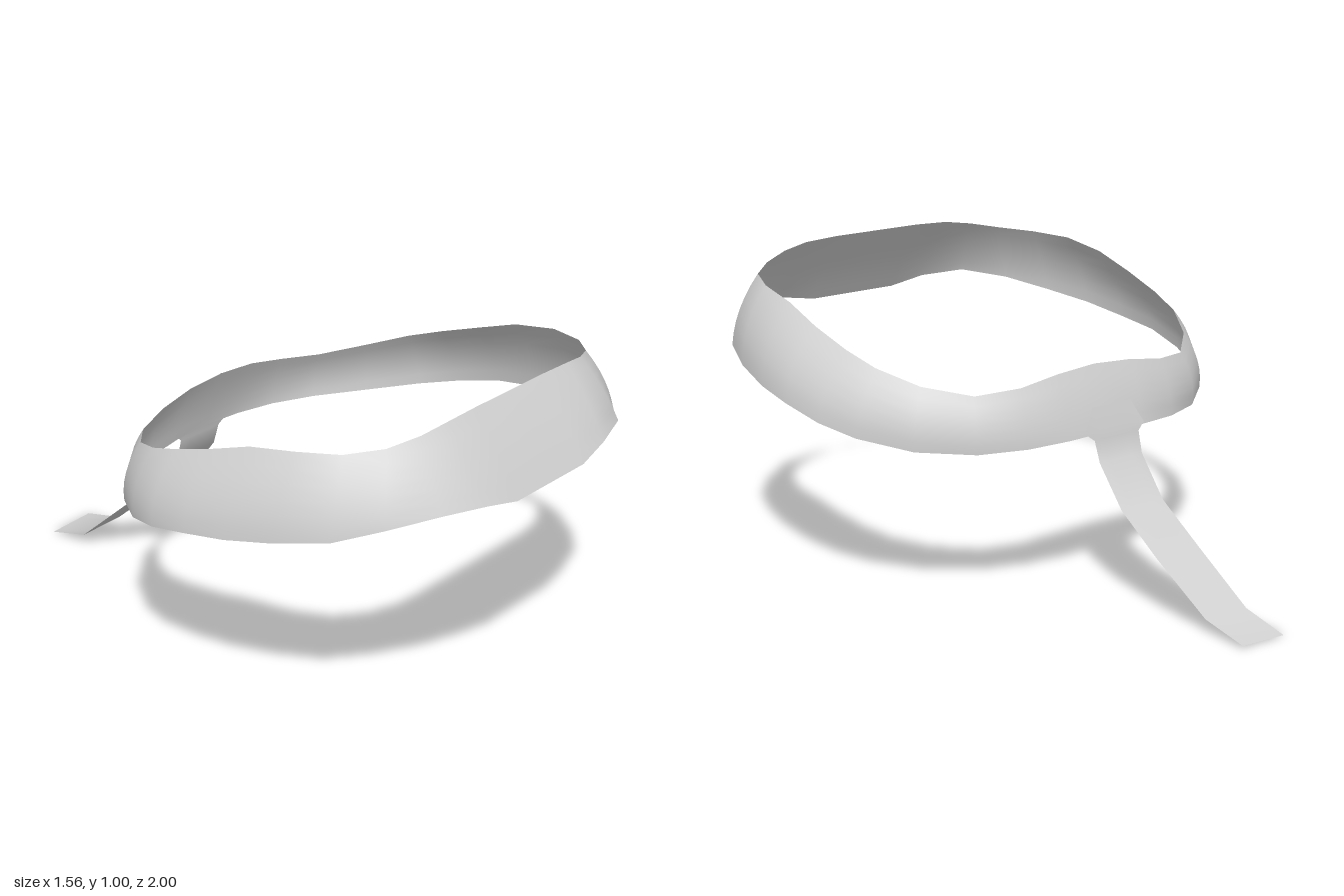
import * as THREE from 'three';

const fabric = new THREE.MeshStandardMaterial({ color: 0xd2d2d2, side: THREE.DoubleSide });
fabric.name = 'light grey fabric';

// Half of the band, front centre to back centre: upper x,y,z, lower x,y,z, outward bulge
const stations = [
  [0, 1.0, 0.84, 0, 0.75, 1.0, 0.005],
  [0.17, 1.0, 0.84, 0.17, 0.75, 1.0, 0.005],
  [0.3, 0.995, 0.837, 0.3, 0.775, 0.985, 0.007],
  [0.4, 0.98, 0.82, 0.45, 0.784, 0.94, 0.01],
  [0.5, 0.96, 0.775, 0.58, 0.755, 0.84, 0.015],
  [0.59, 0.947, 0.69, 0.68, 0.715, 0.72, 0.018],
  [0.643, 0.937, 0.56, 0.74, 0.685, 0.56, 0.022],
  [0.655, 0.91, 0.4, 0.77, 0.655, 0.4, 0.025],
  [0.66, 0.86, 0.25, 0.78, 0.632, 0.25, 0.025],
  [0.65, 0.812, 0.1, 0.76, 0.597, 0.1, 0.025],
  [0.625, 0.773, -0.02, 0.71, 0.567, -0.03, 0.023],
  [0.55, 0.728, -0.15, 0.6, 0.537, -0.18, 0.02],
  [0.43, 0.7, -0.26, 0.45, 0.527, -0.3, 0.017],
  [0.29, 0.712, -0.31, 0.3, 0.53, -0.36, 0.012],
  [0.15, 0.735, -0.32, 0.15, 0.535, -0.385, 0.008],
  [0, 0.745, -0.32, 0, 0.54, -0.39, 0.005],
];

// Smooth sheet from columns of points, optionally closed into a loop
function sheet(name, columns, closed) {
  const rows = columns[0].length, n = columns.length, index = [];
  for (let i = 0; i < (closed ? n : n - 1); i++) {
    for (let j = 0; j < rows - 1; j++) {
      const a = i * rows + j, d = ((i + 1) % n) * rows + j;
      index.push(a, a + 1, d + 1, a, d + 1, d);
    }
  }
  const geometry = new THREE.BufferGeometry();
  geometry.setAttribute('position', new THREE.Float32BufferAttribute(columns.flat(2), 3));
  geometry.setIndex(index);
  geometry.computeVertexNormals();
  const mesh = new THREE.Mesh(geometry, fabric);
  mesh.name = name;
  return mesh;
}

// One slanted cross-section of the band, bowed outward between its edges
function bandColumn([ux, uy, uz, lx, ly, lz, bulge]) {
  const out = new THREE.Vector2(ux, uz - 0.26).normalize();
  const column = [];
  for (let j = 0; j <= 6; j++) {
    const t = j / 6, b = bulge * 4 * t * (1 - t);
    column.push([
      ux + (lx - ux) * t + out.x * b,
      uy + (ly - uy) * t,
      uz + (lz - uz) * t + out.y * b,
    ]);
  }
  return column;
}

export function createModel() {
  const model = new THREE.Group();
  model.name = 'headband';

  // Band: the half loop plus its mirror image
  const mirrored = stations.slice(1, -1).reverse()
    .map(([ux, uy, uz, lx, ly, lz, b]) => [-ux, uy, uz, -lx, ly, lz, b]);
  model.add(sheet('band', [...stations, ...mirrored].map(bandColumn), true));

  // Tail strap: rows of +x edge, -x edge, y, z, sideways tilt
  const strap = [
    [0.05, -0.11, 0.62, -0.368, 0],
    [0.095, -0.15, 0.545, -0.39, 0],
    [0.06, -0.125, 0.52, -0.393, 0],
    [0.053, -0.125, 0.45, -0.41, 0],
    [0.05, -0.125, 0.32, -0.51, 0],
    [0.038, -0.14, 0.2, -0.66, 0],
    [0, -0.175, 0.043, -0.84, 0.003],
    [0, -0.175, 0.005, -1, 0.005],
  ];
  const strapColumns = [0, 0.25, 0.5, 0.75, 1].map((t) => strap.map(
    ([right, left, y, z, tilt]) => [right + (left - right) * t, y + tilt * (1 - 2 * t), z]));
  model.add(sheet('tailStrap', strapColumns, false));
  return model;
}
